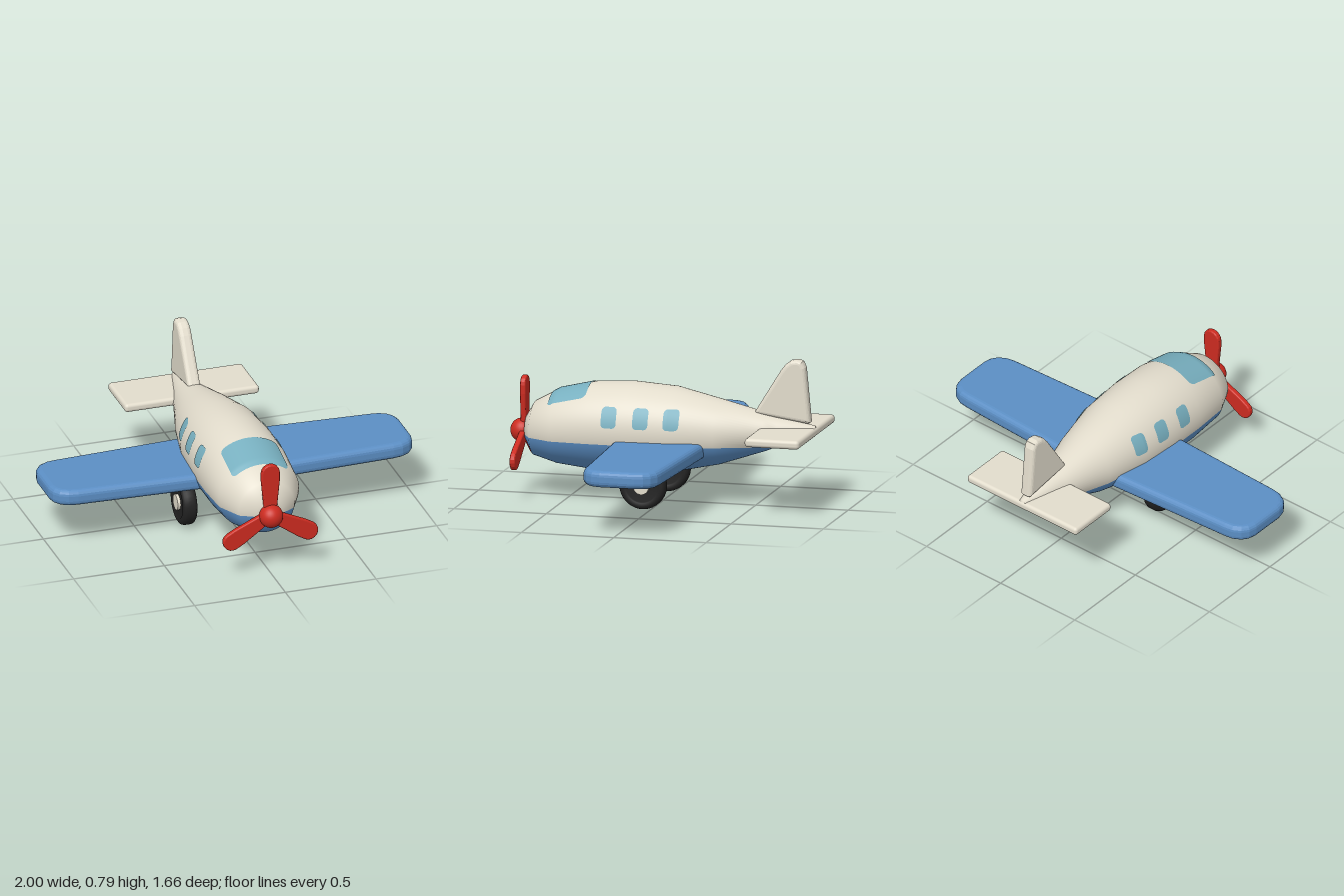
import * as THREE from 'three';
import { RoundedBoxGeometry } from 'three/addons/geometries/RoundedBoxGeometry.js';

const material = (name, color, side = THREE.FrontSide) => {
  const m = new THREE.MeshStandardMaterial({ color, side });
  m.name = name;
  return m;
};

// Fuselage sections from nose to tail: z, centre y, half width, half height
const SECTIONS = [
  [0.745, 0.355, 0.0005, 0.0005], [0.735, 0.355, 0.07, 0.07], [0.69, 0.357, 0.153, 0.144],
  [0.56, 0.375, 0.222, 0.197], [0.36, 0.387, 0.235, 0.233], [0.16, 0.39, 0.235, 0.24],
  [-0.07, 0.39, 0.221, 0.225], [-0.31, 0.388, 0.172, 0.172], [-0.56, 0.4, 0.1, 0.1],
  [-0.63, 0.407, 0.077, 0.077], [-0.82, 0.422, 0.024, 0.024], [-0.825, 0.422, 0.0005, 0.0005],
];
const PAINT_LINE = 0.33;

// Interpolated fuselage section at any z
function sectionAt(z) {
  let i = 0;
  while (i < SECTIONS.length - 2 && SECTIONS[i + 1][0] > z) i++;
  const a = SECTIONS[i], b = SECTIONS[i + 1];
  const t = (z - a[0]) / (b[0] - a[0]);
  return a.map((v, k) => v + (b[k] - v) * t);
}

// Surface from a grid of points; fn(i, j) gives { p, n? }
function grid(rows, cols, fn) {
  const pos = [], nor = [], index = [];
  for (let i = 0; i <= rows; i++) {
    for (let j = 0; j <= cols; j++) {
      const { p, n } = fn(i, j);
      pos.push(...p);
      if (n) nor.push(...n);
      if (i < rows && j < cols) {
        const a = i * (cols + 1) + j, b = a + cols + 1;
        index.push(a, b, a + 1, b, b + 1, a + 1);
      }
    }
  }
  const g = new THREE.BufferGeometry();
  g.setAttribute('position', new THREE.Float32BufferAttribute(pos, 3));
  g.setIndex(index);
  if (nor.length) g.setAttribute('normal', new THREE.Float32BufferAttribute(nor, 3));
  else g.computeVertexNormals();
  return g;
}

// Part of the fuselage above or below the paint line
function hull(upper) {
  const last = SECTIONS.length - 1, cols = 40;
  return grid(last, cols, (i, j) => {
    const [z, cy, rx, ry] = SECTIONS[i];
    const a = Math.asin(THREE.MathUtils.clamp((PAINT_LINE - cy) / ry, -1, 1));
    const from = upper ? a : Math.PI - a;
    const to = upper ? Math.PI - a : 2 * Math.PI + a;
    const t = from + (to - from) * j / cols;
    const c = Math.cos(t), s = Math.sin(t);
    const f = SECTIONS[Math.max(i - 1, 0)], b = SECTIONS[Math.min(i + 1, last)];
    const dz = f[0] - b[0];
    const slope = ((f[1] - b[1]) * s + (f[2] - b[2]) * c * c + (f[3] - b[3]) * s * s) / dz;
    const n = new THREE.Vector3(c, s, -slope).normalize();
    return { p: [rx * c, cy + ry * s, z], n: n.toArray() };
  });
}

// Rounded rectangle laid on the fuselage; place(u, v) maps it onto the skin
function pane(halfU, halfV, corner, place) {
  const steps = 20;
  return grid(steps, steps, (i, j) => {
    const v = -halfV * Math.cos(Math.PI * i / steps);
    const over = Math.max(0, Math.abs(v) - (halfV - corner));
    const w = halfU - corner + Math.sqrt(Math.max(0, corner * corner - over * over));
    return { p: place(w * (2 * j / steps - 1), v) };
  });
}
const arc = (d, r) => Math.sqrt(Math.max(0, 1 - (d / r) ** 2));
const LIFT = 0.004;

// Flat outline with rounded edges, centred on its thickness
function slab(points, thickness, bevel) {
  const shape = new THREE.Shape(points.map(([x, y]) => new THREE.Vector2(x, y)));
  const g = new THREE.ExtrudeGeometry(shape, {
    depth: thickness - 2 * bevel, bevelThickness: bevel, bevelSize: bevel,
    bevelOffset: -bevel, bevelSegments: 4,
  });
  return g.translate(0, 0, bevel - thickness / 2);
}

export function createModel() {
  const cream = material('cream', 0xe2dccc);
  const blue = material('blue', 0x5b8ec4);
  const glass = material('window blue', 0x78b0c0, THREE.DoubleSide);
  const red = material('red', 0xcc2b20);
  const black = material('tyre black', 0x222222);

  const model = new THREE.Group();
  model.name = 'airplane';
  const add = (name, geometry, mat, parent = model) => {
    const mesh = new THREE.Mesh(geometry, mat);
    mesh.name = name;
    parent.add(mesh);
    return mesh;
  };

  // Two-tone fuselage
  add('upperFuselage', hull(true), cream);
  add('lowerFuselage', hull(false), blue);

  // Windscreen
  add('windscreen', pane(0.155, 0.104, 0.025, (x, v) => {
    const z = 0.487 + v;
    const [, cy, rx, ry] = sectionAt(z);
    return [x, cy + (ry + LIFT) * arc(x, rx + LIFT), z];
  }), glass);

  // Cabin windows
  for (const [side, label] of [[1, 'left'], [-1, 'right']]) {
    [0.238, 0.068, -0.094].forEach((zc, k) => {
      add(`${label}Window${k + 1}`, pane(0.041, 0.054, 0.022, (u, v) => {
        const z = zc + u, y = 0.475 + v;
        const [, cy, rx, ry] = sectionAt(z);
        return [side * (rx + LIFT) * arc(y - cy, ry + LIFT), y, z];
      }), glass);
    });
  }

  // Wing, one piece from tip to tip
  const half = [[0, 0.228], [0.87, 0.193], [0.92, 0.185], [0.965, 0.16], [0.99, 0.125], [1, 0.08],
    [1, -0.11], [0.99, -0.155], [0.965, -0.19], [0.92, -0.215], [0.87, -0.222], [0, -0.268]];
  const mirrored = half.slice(1, -1).reverse().map(([x, z]) => [-x, z]);
  const wing = add('wing', slab([...half, ...mirrored], 0.088, 0.03), blue);
  wing.rotation.x = Math.PI / 2;
  wing.position.y = 0.308;

  // Tail
  const tailplane = add('tailplane', new RoundedBoxGeometry(0.74, 0.046, 0.295, 4, 0.018), cream);
  tailplane.position.set(0, 0.412, -0.683);
  const fin = add('tailFin', slab([[0.495, 0.5], [0.64, 0.735], [0.665, 0.768], [0.695, 0.79],
    [0.73, 0.796], [0.757, 0.787], [0.772, 0.755], [0.8, 0.465], [0.79, 0.457]], 0.07, 0.022), cream);
  fin.rotation.y = Math.PI / 2;

  // Wheels with outer hubcaps
  const tyreProfile = [[0, -0.032], [0.085, -0.032], [0.09, -0.038], [0.108, -0.038], [0.12, -0.03],
    [0.125, -0.016], [0.125, 0.016], [0.12, 0.03], [0.108, 0.038], [0.09, 0.038], [0.085, 0.032], [0, 0.032]]
    .map(([x, y]) => new THREE.Vector2(x, y));
  for (const [side, label] of [[1, 'left'], [-1, 'right']]) {
    const wheel = new THREE.Group();
    wheel.name = `${label}Wheel`;
    wheel.position.set(side * 0.24, 0.13, 0.045);
    wheel.rotation.z = -side * Math.PI / 2;
    add('tyre', new THREE.LatheGeometry(tyreProfile, 40), black, wheel);
    add('hubcap', new THREE.CylinderGeometry(0.042, 0.042, 0.03, 24), cream, wheel).position.y = 0.033;
    model.add(wheel);
  }

  // Propeller
  const propeller = new THREE.Group();
  propeller.name = 'propeller';
  propeller.position.set(0, 0.34, 0.75);
  add('spinner', new THREE.SphereGeometry(0.063, 32, 20), red, propeller).position.z = 0.014;
  const tip = Array.from({ length: 9 }, (_, i) => {
    const t = Math.PI * i / 8;
    return [0.05 * Math.cos(t), 0.247 + 0.047 * Math.sin(t)];
  });
  const blade = slab([[-0.03, 0], [0.03, 0], [0.05, 0.2], ...tip, [-0.05, 0.2]], 0.03, 0.008);
  for (let i = 0; i < 3; i++) {
    add(`blade${i + 1}`, blade, red, propeller).rotation.z = i * 2 * Math.PI / 3;
  }
  model.add(propeller);

  return model;
}
